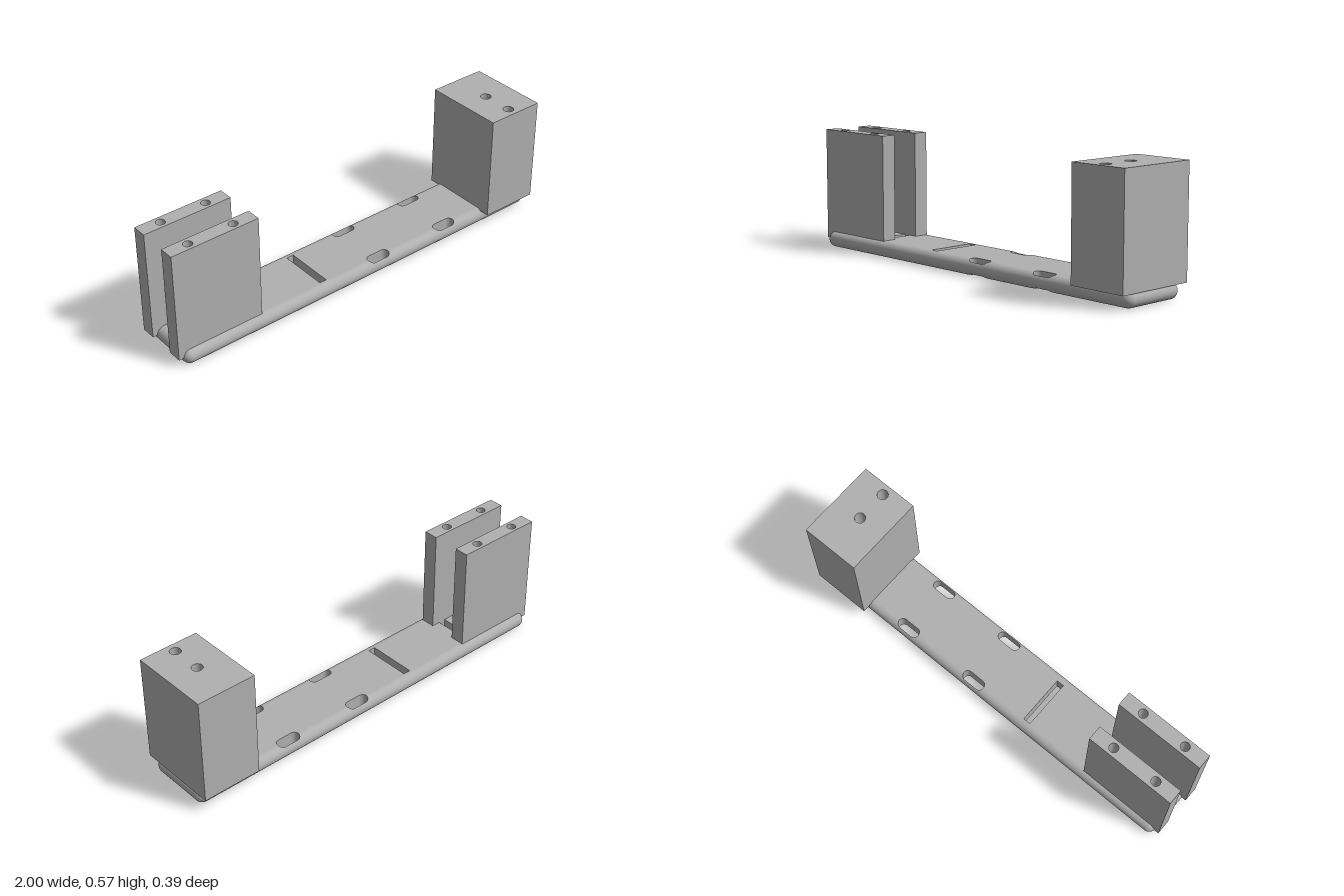
import * as THREE from 'three';

const grey = new THREE.MeshStandardMaterial({ color: 0xb0b0b0 });
grey.name = 'plain grey';

// Base plate: a bar with fully rounded edges
const CX = 0.01, HX = 0.988, HZ = 0.161, R = 0.0375;

// Openings cut through the base (round = slot with round ends)
const openings = [];
for (const x of [-0.628, -0.221]) openings.push({ x, z: 0, hx: 0.018, hz: 0.12, round: false });
for (const x of [0.094, 0.494])
  for (const z of [-0.126, 0.126]) openings.push({ x, z, hx: 0.059, hz: 0.0235, round: true });

// Distance into the rounded edge, and the half thickness there
const edge = (v, half) => Math.sign(v) * Math.max(0, Math.abs(v) - (half - R));
function surface(x, z) {
  const dx = edge(x - CX, HX), dz = edge(z, HZ);
  const h = Math.sqrt(Math.max(0, R * R - dx * dx - dz * dz));
  return { x, z, h, n: [dx / R, h / R, dz / R] };
}

// Plan outline of one opening
function outline(o) {
  const pts = [];
  if (!o.round) {
    for (const [sx, sz] of [[1, -1], [1, 1], [-1, 1], [-1, -1]]) pts.push([o.x + sx * o.hx, o.z + sz * o.hz]);
    return pts;
  }
  const N = 12;
  for (const side of [1, -1])
    for (let i = 0; i <= N; i++) {
      const a = -Math.PI / 2 + Math.PI * i / N;
      pts.push([o.x + side * (o.hx - o.hz + o.hz * Math.cos(a)), o.z + side * o.hz * Math.sin(a)]);
    }
  return pts;
}

function halfWidth(o, z) {
  if (!o.round) return o.hx;
  return o.hx - o.hz + Math.sqrt(Math.max(0, o.hz * o.hz - (z - o.z) ** 2));
}

// Top and bottom skin, lofted in strips along z and broken at the openings
function skinGeometry() {
  const N = 10, pos = [], nor = [];
  let levels = [];
  for (let i = 0; i <= N; i++) {
    const z = HZ - R + R * Math.sin(Math.PI / 2 * i / N);
    levels.push(z, -z);
  }
  for (const o of openings) for (const p of outline(o)) levels.push(p[1]);
  levels.sort((a, b) => a - b);
  levels = levels.filter((z, i) => i === 0 || z - levels[i - 1] > 1e-6);

  const row = (z, cuts) => {
    const dz = edge(z, HZ), reach = Math.sqrt(Math.max(0, R * R - dz * dz));
    const xs = [];
    for (let i = N; i >= 0; i--) xs.push(CX - (HX - R) - reach * Math.sin(Math.PI / 2 * i / N));
    for (const o of cuts) xs.push(o.x - halfWidth(o, z), o.x + halfWidth(o, z));
    for (let i = 0; i <= N; i++) xs.push(CX + (HX - R) + reach * Math.sin(Math.PI / 2 * i / N));
    return xs.map(x => surface(x, z));
  };
  const tri = (side, ...ps) => {
    for (const p of side > 0 ? ps : ps.reverse()) {
      pos.push(p.x, R + side * p.h, p.z);
      nor.push(p.n[0], side * p.n[1], p.n[2]);
    }
  };
  for (let k = 0; k + 1 < levels.length; k++) {
    const mid = (levels[k] + levels[k + 1]) / 2;
    const cuts = openings.filter(o => Math.abs(mid - o.z) < o.hz).sort((a, b) => a.x - b.x);
    const A = row(levels[k], cuts), B = row(levels[k + 1], cuts);
    for (let i = 0; i + 1 < A.length; i++) {
      if (i > N && i < N + 2 * cuts.length && (i - N) % 2 === 1) continue;
      for (const side of [1, -1]) {
        tri(side, A[i], B[i], B[i + 1]);
        tri(side, A[i], B[i + 1], A[i + 1]);
      }
    }
  }
  const g = new THREE.BufferGeometry();
  g.setAttribute('position', new THREE.Float32BufferAttribute(pos, 3));
  g.setAttribute('normal', new THREE.Float32BufferAttribute(nor, 3));
  return g;
}

// Inner walls of one opening
function wallGeometry(o) {
  const pos = [], pts = outline(o).map(p => surface(p[0], p[1]));
  pts.forEach((p, i) => {
    const q = pts[(i + 1) % pts.length];
    const pt = [p.x, R + p.h, p.z], pb = [p.x, R - p.h, p.z];
    const qt = [q.x, R + q.h, q.z], qb = [q.x, R - q.h, q.z];
    pos.push(...pt, ...pb, ...qt, ...qt, ...pb, ...qb);
  });
  const g = new THREE.BufferGeometry();
  g.setAttribute('position', new THREE.Float32BufferAttribute(pos, 3));
  g.computeVertexNormals();
  return g;
}

// Upright box with vertical round holes, given by its plan
function drilledBox(x0, x1, z0, z1, y0, y1, holes, radius) {
  const s = new THREE.Shape();
  s.moveTo(x0, -z1).lineTo(x1, -z1).lineTo(x1, -z0).lineTo(x0, -z0).closePath();
  for (const [x, z] of holes) s.holes.push(new THREE.Path().absarc(x, -z, radius, 0, Math.PI * 2, true));
  const g = new THREE.ExtrudeGeometry(s, { depth: y1 - y0, bevelEnabled: false, curveSegments: 24 });
  return g.rotateX(-Math.PI / 2).translate(0, y0, 0);
}

export function createModel() {
  const model = new THREE.Group();
  model.name = 'bracket';
  const add = (name, geometry, parent = model) => {
    const m = new THREE.Mesh(geometry, grey);
    m.name = name;
    parent.add(m);
  };

  // Slotted base
  const base = new THREE.Group();
  base.name = 'base';
  model.add(base);
  add('baseSkin', skinGeometry(), base);
  openings.forEach(o => add(o.round ? 'roundSlotWall' : 'crossSlotWall', wallGeometry(o), base));

  // Pair of upright plates at one end
  for (const s of [1, -1]) {
    const z = s * 0.099;
    add(s > 0 ? 'frontPlate' : 'backPlate',
      drilledBox(-1, -0.567, z - 0.035, z + 0.035, 0.04, 0.573, [[-0.896, z], [-0.671, z]], 0.021));
  }

  // Solid block at the other end
  add('endBlock', drilledBox(0.712, 0.997, -0.197, 0.197, 0.065, 0.574, [[0.853, 0], [0.853, 0.15]], 0.025));
  return model;
}
